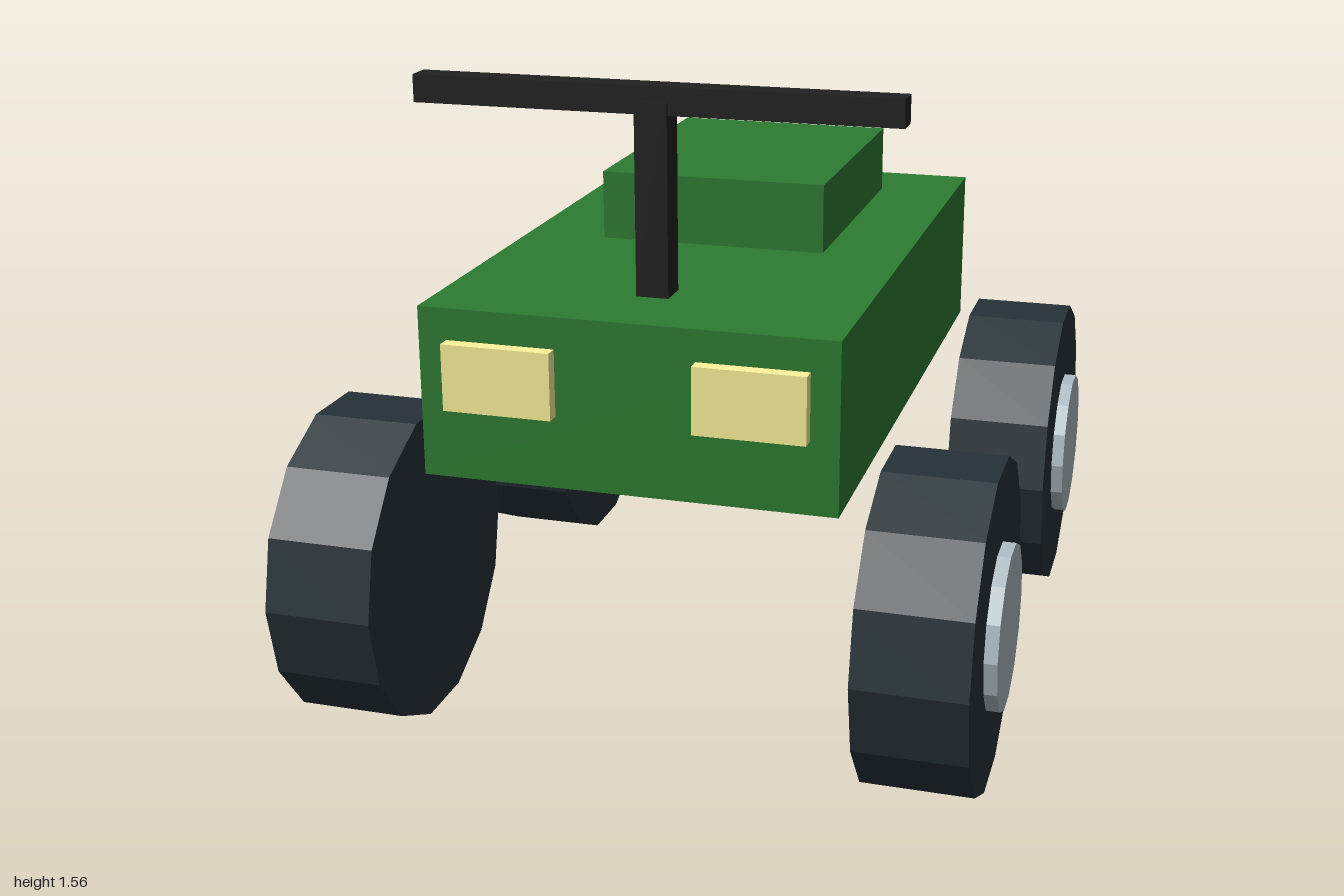
import * as THREE from 'three';

const material = (color) => new THREE.MeshStandardMaterial({ color, flatShading: true });

export function createModel() {
  const model = new THREE.Group();
  model.name = 'quadBike';

  const green = material(0x2e7d32);
  const black = material(0x212121);
  const rubber = material(0x263238);
  const metal = material(0xb0bec5);
  const lamp = material(0xfff59d);

  // Box given by its lower and upper corners
  function box(name, mat, [x0, y0, z0], [x1, y1, z1]) {
    const mesh = new THREE.Mesh(new THREE.BoxGeometry(x1 - x0, y1 - y0, z1 - z0), mat);
    mesh.position.set((x0 + x1) / 2, (y0 + y1) / 2, (z0 + z1) / 2);
    mesh.name = name;
    model.add(mesh);
  }

  // Body and seat
  box('body', green, [-0.483, 0.68, -0.807], [0.483, 1.08, 0.807]);
  box('seat', green, [-0.282, 1.07, -0.603], [0.282, 1.25, 0.121]);

  // Steering post and handlebar
  box('steeringPost', black, [-0.038, 1.07, 0.527], [0.038, 1.525, 0.603]);
  box('handlebar', black, [-0.565, 1.495, 0.533], [0.565, 1.559, 0.597]);

  // Headlights
  box('leftHeadlight', lamp, [0.162, 0.85, 0.78], [0.417, 1.006, 0.84]);
  box('rightHeadlight', lamp, [-0.417, 0.85, 0.78], [-0.162, 1.006, 0.84]);

  // Wheels: 14-sided tyre with a hub standing out on the outer side
  const tyreGeometry = new THREE.CylinderGeometry(0.387, 0.387, 0.257, 14).rotateZ(Math.PI / 2);
  const hubGeometry = new THREE.CylinderGeometry(0.193, 0.193, 0.27, 14).rotateZ(Math.PI / 2);
  for (const side of [1, -1]) {
    for (const end of [1, -1]) {
      const wheel = new THREE.Group();
      wheel.name = (end > 0 ? 'front' : 'rear') + (side > 0 ? 'Left' : 'Right') + 'Wheel';
      const tyre = new THREE.Mesh(tyreGeometry, rubber);
      tyre.name = 'tyre';
      const hub = new THREE.Mesh(hubGeometry, metal);
      hub.name = 'hub';
      hub.position.x = side * 0.024;
      wheel.add(tyre, hub);
      wheel.position.set(side * 0.68, 0.378, end * 0.613);
      model.add(wheel);
    }
  }
  return model;
}
